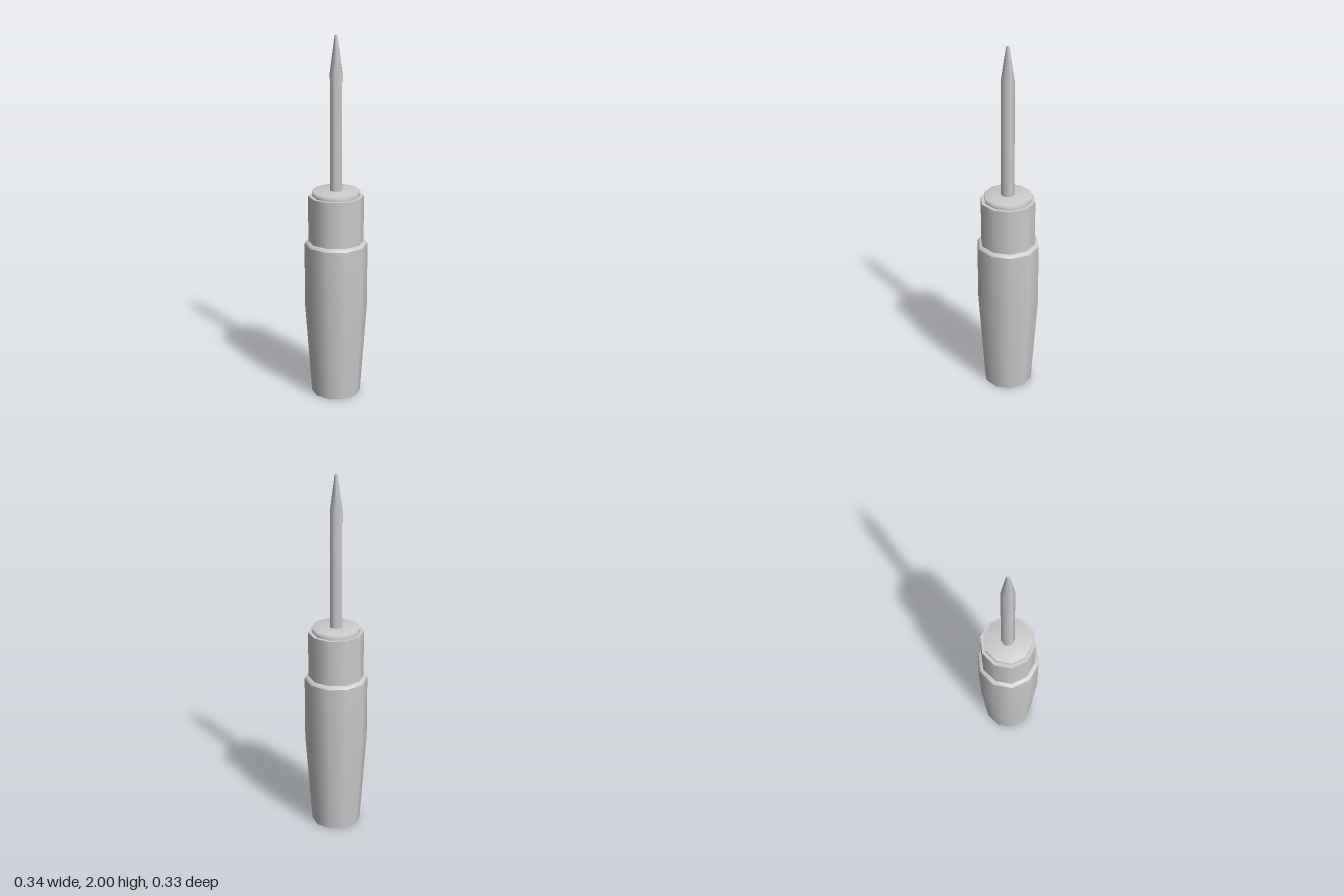
import * as THREE from 'three';

const material = new THREE.MeshStandardMaterial({ color: 0xcccccc });

// Turns one smooth run of [radius, height] points, with a corner on the +x axis
function turned(name, sides, points) {
  const profile = points.map(([r, y]) => new THREE.Vector2(r, y));
  const geometry = new THREE.LatheGeometry(profile, sides).rotateY(Math.PI / 2);
  const mesh = new THREE.Mesh(geometry, material);
  mesh.name = name;
  return mesh;
}

export function createModel() {
  const model = new THREE.Group();
  model.name = 'screwdriver';

  // Ten-sided handle; separate runs keep the edges between them sharp
  const handle = new THREE.Group();
  handle.name = 'handle';
  handle.add(
    turned('handleBase', 10, [[0, 0], [0.135, 0]]),
    turned('grip', 10, [[0.135, 0], [0.171, 0.52], [0.171, 0.87]]),
    turned('gripShoulder', 10, [[0.171, 0.87], [0.163, 0.883], [0.15, 0.885]]),
    turned('neck', 10, [[0.15, 0.885], [0.15, 1.14]]),
    turned('neckLedge', 10, [[0.15, 1.14], [0.13, 1.14]]),
    // The cap is shaded softly over its rim
    turned('cap', 10, [[0.13, 1.14], [0.13, 1.17], [0, 1.17]])
  );

  // Six-sided shaft with a tapered point
  const blade = new THREE.Group();
  blade.name = 'blade';
  blade.add(
    turned('shaft', 6, [[0.036, 1.15], [0.036, 1.81], [0.008, 2]]),
    turned('tip', 6, [[0.008, 2], [0, 2]])
  );

  model.add(handle, blade);
  return model;
}
